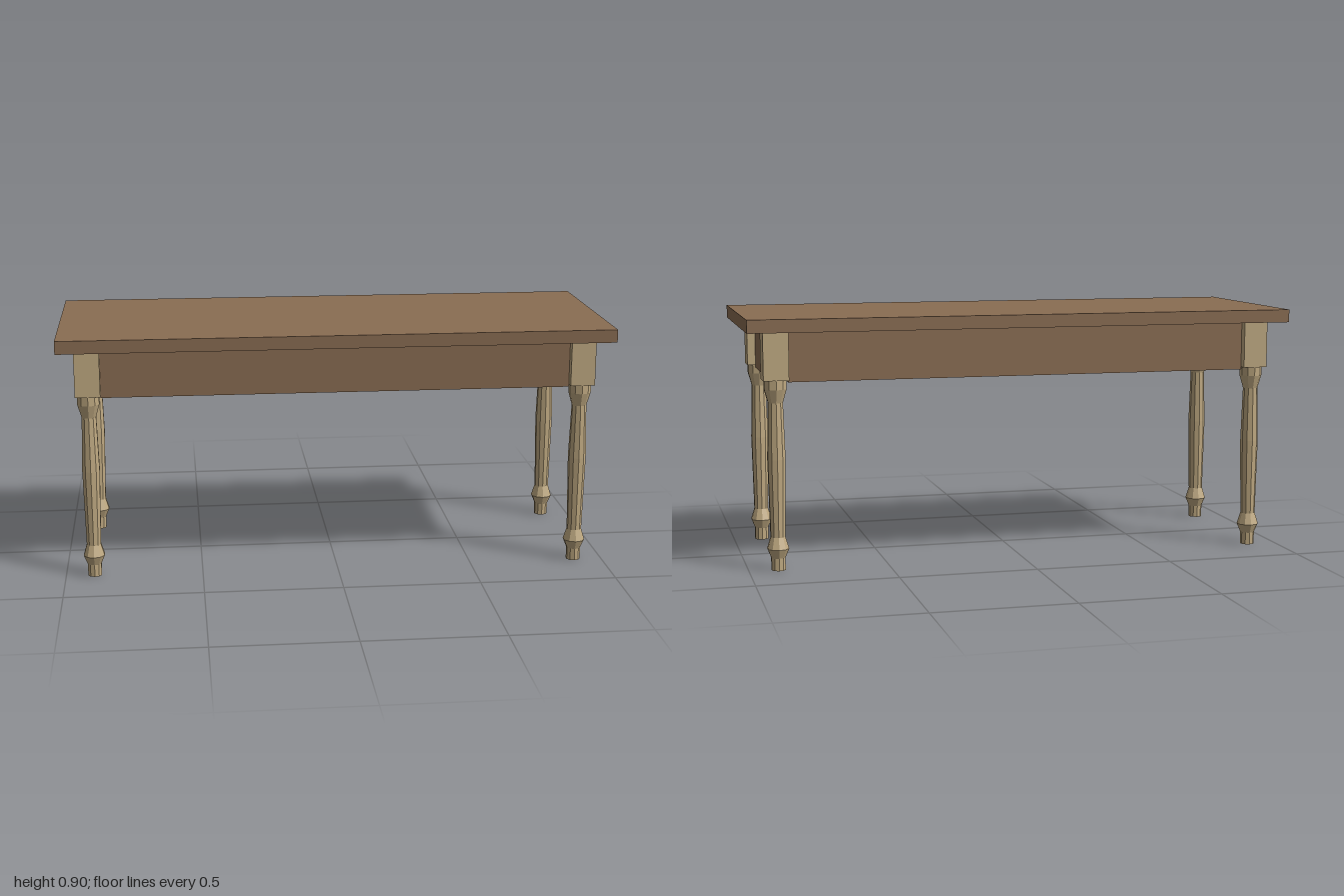
import * as THREE from 'three';

export function createModel() {
  const table = new THREE.Group();
  table.name = 'table';

  const darkWood = new THREE.MeshStandardMaterial({ color: 0x8a6d52 });
  darkWood.name = 'dark wood';
  const paleWood = new THREE.MeshStandardMaterial({ color: 0xc0aa82 });
  paleWood.name = 'pale wood';

  const add = (parent, name, geometry, material, x, y, z) => {
    const mesh = new THREE.Mesh(geometry, material);
    mesh.name = name;
    mesh.position.set(x, y, z);
    parent.add(mesh);
  };

  const topBottom = 0.853, topHeight = 0.9;
  const legX = 0.895, legZ = 0.275, block = 0.09;
  const apronBottom = 0.672, apronThickness = 0.03;

  // Table top
  add(table, 'tableTop', new THREE.BoxGeometry(2, topHeight - topBottom, 0.76), darkWood,
    0, (topHeight + topBottom) / 2, 0);

  // Apron boards running between the leg blocks
  const apronHeight = topBottom - apronBottom;
  const apronY = (topBottom + apronBottom) / 2;
  const longApron = new THREE.BoxGeometry(legX * 2 - block, apronHeight, apronThickness);
  const endApron = new THREE.BoxGeometry(apronThickness, apronHeight, legZ * 2 - block);
  for (const s of [1, -1]) {
    add(table, s > 0 ? 'frontApron' : 'backApron', longApron, darkWood, 0, apronY, s * legZ);
    add(table, s > 0 ? 'leftApron' : 'rightApron', endApron, darkWood, s * legX, apronY, 0);
  }

  // Turned leg: faceted profile of radius and height
  const profile = [
    [0, 0], [0.026, 0], [0.026, 0.045], [0.04, 0.078], [0.027, 0.12],
    [0.033, 0.4], [0.027, 0.6], [0.041, 0.648], [0.041, 0.682],
  ].map(([r, y]) => new THREE.Vector2(r, y));
  const turning = new THREE.LatheGeometry(profile, 10).toNonIndexed();
  turning.computeVertexNormals();

  // Square block that joins each leg to the apron
  const blockBottom = 0.681;
  const blockGeometry = new THREE.BoxGeometry(block, topBottom - blockBottom, block);

  for (const sx of [1, -1]) {
    for (const sz of [1, -1]) {
      const leg = new THREE.Group();
      leg.name = (sz > 0 ? 'front' : 'back') + (sx > 0 ? 'Left' : 'Right') + 'Leg';
      leg.position.set(sx * legX, 0, sz * legZ);
      add(leg, 'turnedLeg', turning, paleWood, 0, 0, 0);
      add(leg, 'legBlock', blockGeometry, paleWood, 0, (topBottom + blockBottom) / 2, 0);
      table.add(leg);
    }
  }
  return table;
}
